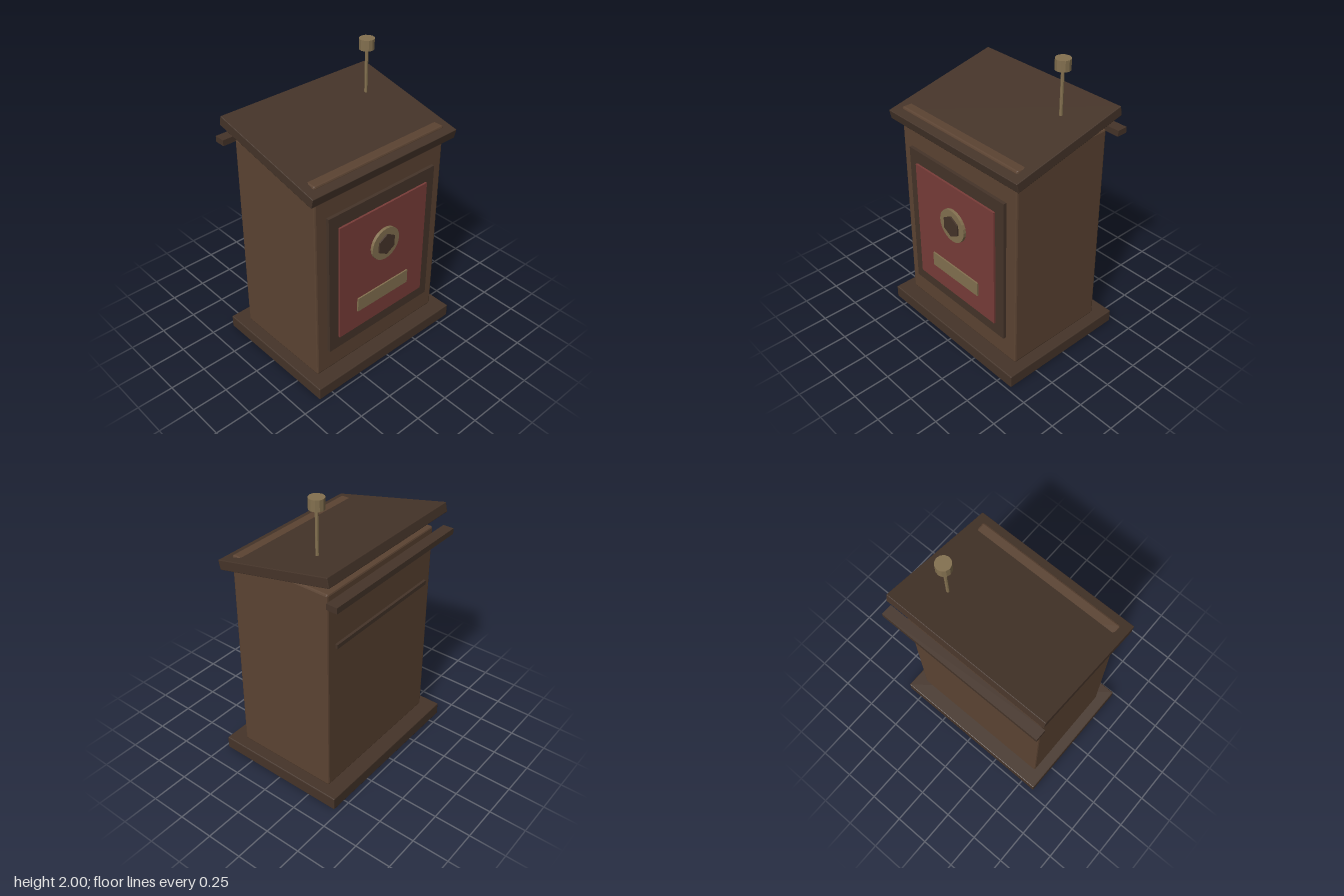
import * as THREE from 'three';
import { RoundedBoxGeometry } from 'three/addons/geometries/RoundedBoxGeometry.js';

const material = (color) => new THREE.MeshStandardMaterial({ color, flatShading: true });

export function createModel() {
  const model = new THREE.Group();
  const wood = material(0x5b4332);
  const darkWood = material(0x453429);
  const red = material(0x783c38);
  const brass = material(0x83704f);

  const add = (name, geometry, mat, x, y, z) => {
    const mesh = new THREE.Mesh(geometry, mat);
    mesh.name = name;
    mesh.position.set(x, y, z);
    model.add(mesh);
    return mesh;
  };

  // Box given by its width and its y and z ranges, centred on x; bevel chamfers the edges
  const slab = (name, mat, width, [y0, y1], [z0, z1], bevel = 0) => {
    const size = [width, y1 - y0, z1 - z0];
    const geometry = bevel
      ? new RoundedBoxGeometry(...size, 1, bevel)
      : new THREE.BoxGeometry(...size);
    return add(name, geometry, mat, 0, (y0 + y1) / 2, (z0 + z1) / 2);
  };

  // Disc facing the front
  const disc = (name, mat, radius, sides, y, [z0, z1]) => {
    const geometry = new THREE.CylinderGeometry(radius, radius, z1 - z0, sides).rotateX(Math.PI / 2);
    return add(name, geometry, mat, 0, y, (z0 + z1) / 2);
  };

  // Cabinet
  slab('base', darkWood, 1.21, [0, 0.09], [-0.465, 0.475], 0.006);
  slab('body', wood, 1.06, [0.09, 1.535], [-0.36, 0.37], 0.012);

  // Sloping lid, lower at the front
  const roof = add('roof', new RoundedBoxGeometry(1.178, 0.066, 0.855, 1, 0.004), darkWood, 0, 1.568, 0.004);
  roof.rotation.x = 0.22;

  // Door with its badge and name plate
  slab('doorFrame', darkWood, 0.886, [0.255, 1.289], [0.36, 0.392]);
  slab('doorPanel', red, 0.74, [0.345, 1.198], [0.38, 0.406]);
  slab('doorPlate', brass, 0.444, [0.483, 0.585], [0.4, 0.416]);
  disc('badgeDisc', brass, 0.115, 24, 0.918, [0.4, 0.426]);
  disc('badgeHexagon', darkWood, 0.075, 6, 0.918, [0.415, 0.436]);

  // Strips at the back
  slab('rearBar', darkWood, 1.178, [1.49, 1.53], [-0.475, -0.4]);
  slab('rearStrip', darkWood, 0.92, [1.143, 1.172], [-0.378, -0.35]);

  // Rod with a knob on the lid
  add('rod', new THREE.CylinderGeometry(0.011, 0.011, 0.34, 8), brass, 0.354, 1.77, -0.145);
  add('knob', new THREE.CylinderGeometry(0.05, 0.05, 0.07, 12), brass, 0.354, 1.965, -0.145);

  return model;
}
